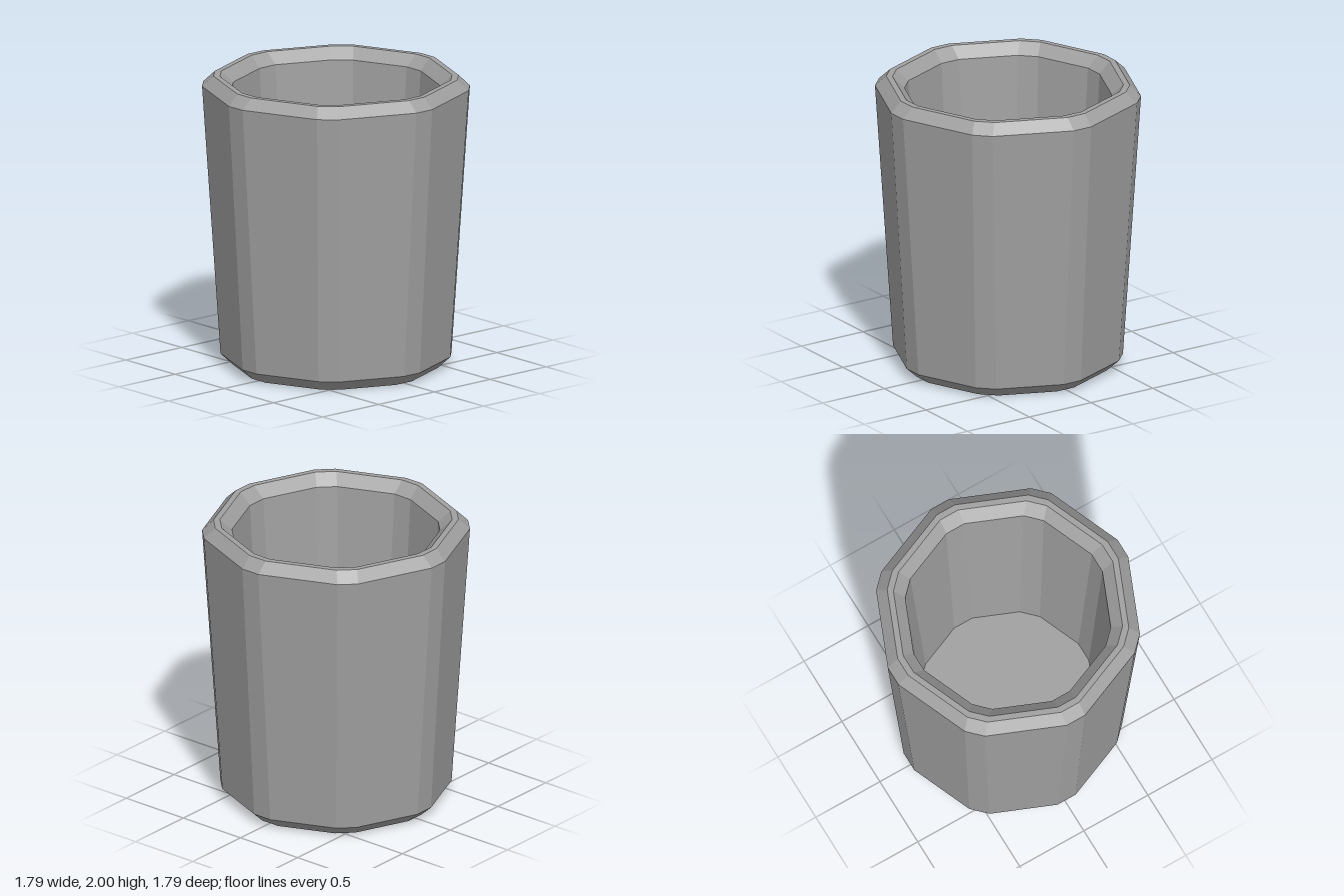
import * as THREE from 'three';

const HALF_CHAMFER = 0.07; // half width of the narrow facet at each octagon corner
const SIDES = 8;

// Octagon with cut corners: two points per corner, reach r, at height y
function ring(r, y) {
  const points = [];
  for (let i = 0; i < SIDES; i++) {
    const a = (i / SIDES) * Math.PI * 2;
    for (const w of [-HALF_CHAMFER, HALF_CHAMFER]) {
      points.push([
        r * Math.sin(a) + w * Math.cos(a),
        y,
        r * Math.cos(a) - w * Math.sin(a),
      ]);
    }
  }
  return points;
}

// Joins successive rings with quads; optionally closes first and last ring
function loft(profile, capStart, capEnd) {
  const n = SIDES * 2;
  const positions = [];
  const index = [];
  profile.forEach(([r, y]) => ring(r, y).forEach((p) => positions.push(...p)));
  for (let k = 0; k < profile.length - 1; k++) {
    for (let i = 0; i < n; i++) {
      const j = (i + 1) % n;
      const a = k * n + i, b = k * n + j;
      index.push(a, b, b + n, a, b + n, a + n);
    }
  }
  const last = (profile.length - 1) * n;
  for (let i = 1; i < n - 1; i++) {
    if (capStart) index.push(0, i + 1, i);
    if (capEnd) index.push(last, last + i, last + i + 1);
  }
  const indexed = new THREE.BufferGeometry();
  indexed.setAttribute('position', new THREE.Float32BufferAttribute(positions, 3));
  indexed.setIndex(index);
  const geometry = indexed.toNonIndexed();
  geometry.computeVertexNormals();
  return geometry;
}

export function createModel() {
  const group = new THREE.Group();
  group.name = 'cup';
  const material = new THREE.MeshStandardMaterial({ color: 0xa0a0a0, flatShading: true });

  const add = (name, profile, capStart = false, capEnd = false) => {
    const mesh = new THREE.Mesh(loft(profile, capStart, capEnd), material);
    mesh.name = name;
    group.add(mesh);
  };

  // Base with bevelled foot, and tapered outer wall
  add('outerWall', [[0.69, 0], [0.773, 0.075], [0.897, 1.928]], true);
  // Rim: outer bevel, narrow flat lip, inner bevel
  add('rim', [[0.897, 1.928], [0.82, 2], [0.777, 2], [0.695, 1.925]]);
  // Hollow inside, down to the floor
  add('innerWall', [[0.695, 1.925], [0.59, 0.32]], false, true);

  return group;
}
